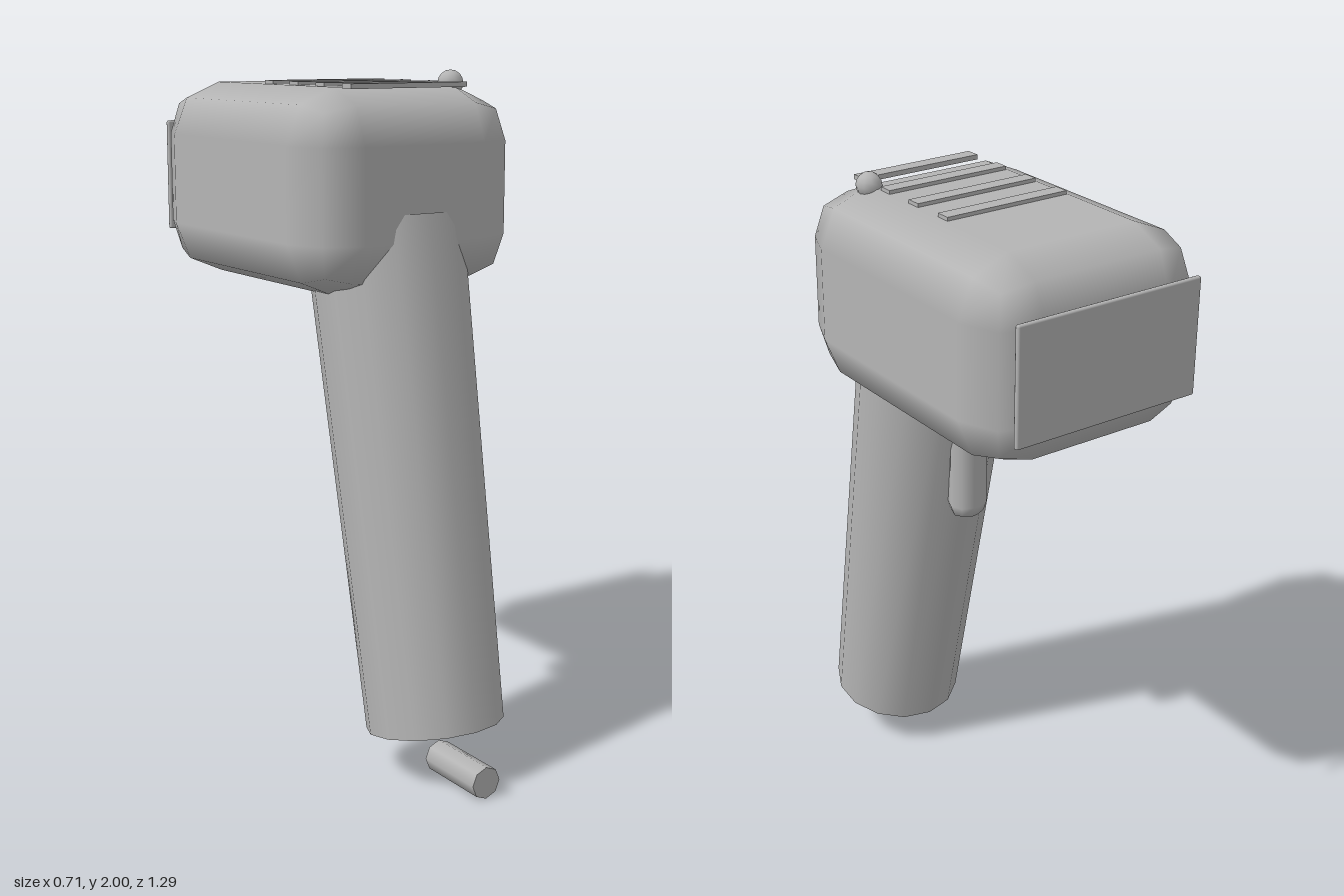
import * as THREE from 'three';
import { RoundedBoxGeometry } from 'three/addons/geometries/RoundedBoxGeometry.js';

export function createModel() {
  const group = new THREE.Group();
  const grey = new THREE.MeshStandardMaterial({ color: 0xb4b4b4 });
  grey.name = 'grey';

  function add(name, geometry, x, y, z, tilt = 0) {
    const mesh = new THREE.Mesh(geometry, grey);
    mesh.name = name;
    mesh.position.set(x, y, z);
    mesh.rotation.x = tilt;
    group.add(mesh);
    return mesh;
  }

  // Chunky head with two-step rounded edges
  add('head', new RoundedBoxGeometry(0.71, 0.575, 0.96, 1, 0.155), 0, 1.672, -0.148);

  // Plate across the back of the head
  add('backPlate', new RoundedBoxGeometry(0.59, 0.335, 0.016, 1, 0.006), 0, 1.672, -0.635);

  // Tapered handle leaning back under the head
  add('handle', new THREE.CylinderGeometry(0.23, 0.201, 1.461, 14), 0, 0.86, 0.26, -0.19);

  // Trigger on the back of the handle
  add('trigger', new RoundedBoxGeometry(0.12, 0.33, 0.1, 1, 0.05), 0, 1.115, -0.016);

  // Row of raised strips on top
  for (let i = 0; i < 4; i++) {
    add('topStrip', new THREE.BoxGeometry(0.39, 0.014, 0.044), 0, 1.963, -0.179 + i * 0.137);
  }

  // Small indicator knob
  add('indicator', new THREE.SphereGeometry(0.037, 10, 8), 0.204, 1.965, 0.163);

  // Cord stub below the handle
  add('cordStub', new THREE.CylinderGeometry(0.047, 0.047, 0.225, 8), 0, 0.047, 0.532, Math.PI / 2);

  return group;
}
